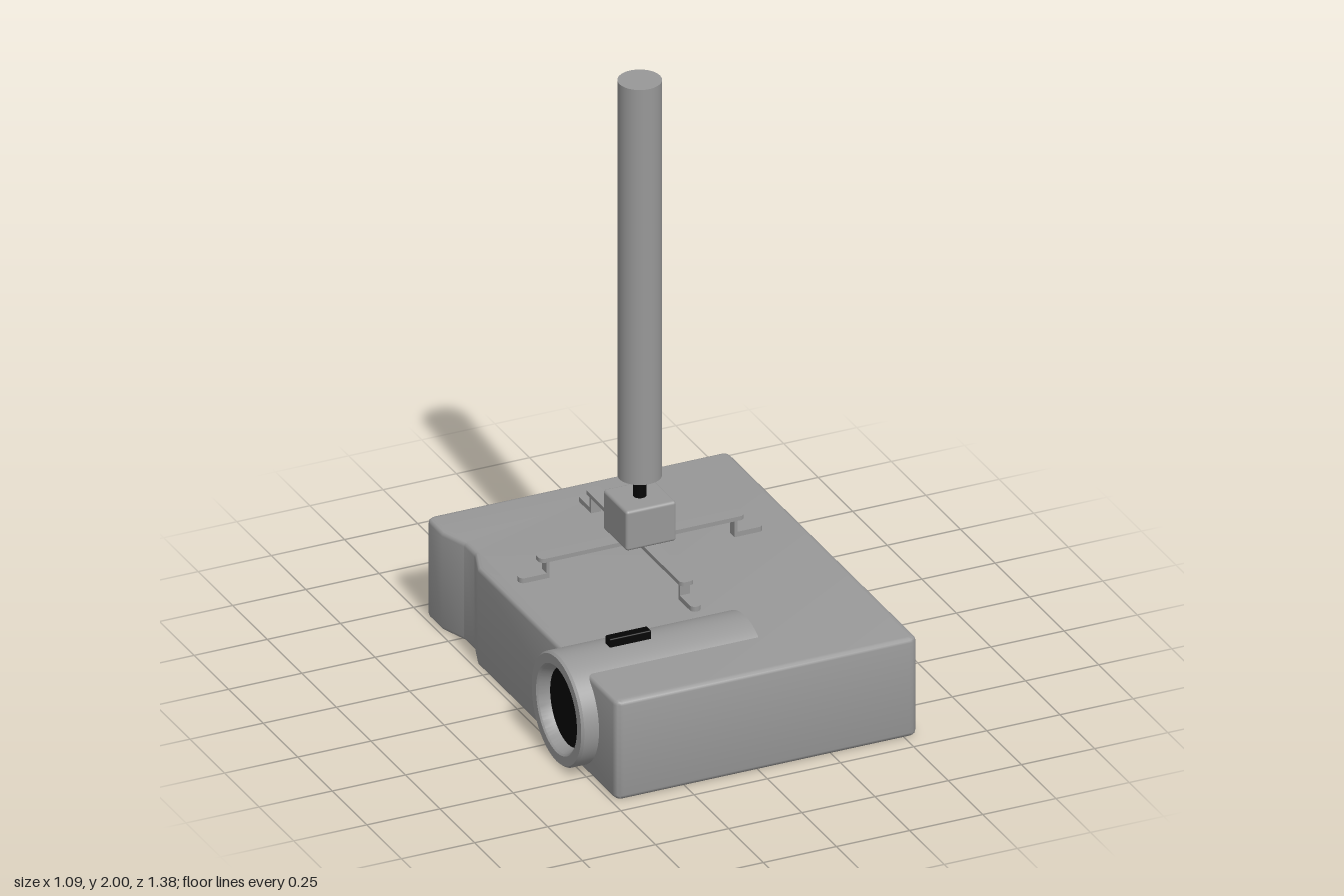
import * as THREE from 'three';
import { toCreasedNormals } from 'three/addons/utils/BufferGeometryUtils.js';
import { RoundedBoxGeometry } from 'three/addons/geometries/RoundedBoxGeometry.js';

const grey = new THREE.MeshStandardMaterial({ color: 0x989898 });
const black = new THREE.MeshStandardMaterial({ color: 0x050505 });

function add(parent, name, geometry, material, x = 0, y = 0, z = 0) {
  const mesh = new THREE.Mesh(geometry, material);
  mesh.name = name;
  mesh.position.set(x, y, z);
  parent.add(mesh);
  return mesh;
}

// Flat bar along +x with a rounded outer end, lying from y = 0 to y = thickness
function barGeometry(start, end, halfWidth, radius, thickness) {
  const s = new THREE.Shape();
  s.moveTo(start, -halfWidth);
  s.lineTo(end - radius, -halfWidth);
  s.absarc(end - radius, -halfWidth + radius, radius, -Math.PI / 2, 0);
  s.absarc(end - radius, halfWidth - radius, radius, 0, Math.PI / 2);
  s.lineTo(start, halfWidth);
  s.closePath();
  return new THREE.ExtrudeGeometry(s, { depth: thickness, bevelEnabled: false, curveSegments: 8 })
    .rotateX(-Math.PI / 2);
}

// Rounded slab with a shallow finger notch in one side (shape y becomes -z)
function bodyGeometry() {
  const b = 0.015, x0 = -0.487 + b, x1 = 0.544 - b, d = 0.688 - b, r = 0.012;
  const s = new THREE.Shape();
  s.moveTo(x0 + r, -d);
  s.lineTo(x1 - r, -d);
  s.quadraticCurveTo(x1, -d, x1, -d + r);
  s.lineTo(x1, d - r);
  s.quadraticCurveTo(x1, d, x1 - r, d);
  s.lineTo(x0 + r, d);
  s.quadraticCurveTo(x0, d, x0, d - r);
  s.lineTo(x0, 0.575);
  s.lineTo(x0 + 0.03, 0.49);
  s.quadraticCurveTo(x0 + 0.033, 0.482, x0 + 0.033, 0.475);
  s.lineTo(x0 + 0.033, 0.41);
  s.quadraticCurveTo(x0 + 0.033, 0.402, x0 + 0.03, 0.394);
  s.lineTo(x0, 0.31);
  s.lineTo(x0, -d + r);
  s.quadraticCurveTo(x0, -d, x0 + r, -d);
  const g = new THREE.ExtrudeGeometry(s, {
    depth: 0.343 - 2 * b, bevelSize: b, bevelThickness: b, bevelSegments: 3, curveSegments: 4,
  });
  g.rotateX(-Math.PI / 2).translate(0, b, 0);
  return toCreasedNormals(g, 0.6);
}

export function createModel() {
  const model = new THREE.Group();
  model.name = 'ceilingProjector';

  add(model, 'body', bodyGeometry(), grey);

  // Lens barrel lying along x, with a recessed dark lens at its outer end
  const lens = new THREE.Group();
  lens.name = 'lens';
  lens.position.set(0, 0.187, 0.379);
  lens.rotation.z = Math.PI / 2;
  model.add(lens);
  const profile = [[0, -0.098], [0.185, -0.098], [0.185, 0.537], [0.179, 0.545],
    [0.148, 0.545], [0.142, 0.54], [0.128, 0.505]].map(([r, y]) => new THREE.Vector2(r, y));
  add(lens, 'lensBarrel', toCreasedNormals(new THREE.LatheGeometry(profile, 64), 0.5), grey);
  add(lens, 'lensGlass', new THREE.CircleGeometry(0.13, 48).rotateX(-Math.PI / 2), black, 0, 0.506, 0);
  add(model, 'focusSlider', new RoundedBoxGeometry(0.142, 0.04, 0.034, 2, 0.004), black, -0.299, 0.38, 0.378);

  // Ceiling mount
  const mount = new THREE.Group();
  mount.name = 'mount';
  mount.position.z = -0.173;
  model.add(mount);
  add(mount, 'pole', new THREE.CylinderGeometry(0.069, 0.069, 1.377, 48), grey, 0, 1.3115, 0);
  add(mount, 'neck', new THREE.CylinderGeometry(0.021, 0.021, 0.09, 24), black, 0, 0.588, 0);
  add(mount, 'block', new RoundedBoxGeometry(0.172, 0.138, 0.172, 3, 0.01), grey, 0, 0.483, 0);

  // Four stepped arms, each ending in a foot on the body
  for (let i = 0; i < 4; i++) {
    const arm = new THREE.Group();
    arm.name = 'arm' + (i + 1);
    arm.rotation.y = i * Math.PI / 2;
    mount.add(arm);
    add(arm, 'bar', barGeometry(0, 0.35, 0.024, 0.018, 0.014), grey, 0, 0.402, 0);
    add(arm, 'leg', new THREE.BoxGeometry(0.01, 0.06, 0.034), grey, 0.321, 0.374, 0);
    add(arm, 'foot', barGeometry(0.316, 0.415, 0.017, 0.016, 0.018), grey, 0, 0.342, 0);
  }
  return model;
}
